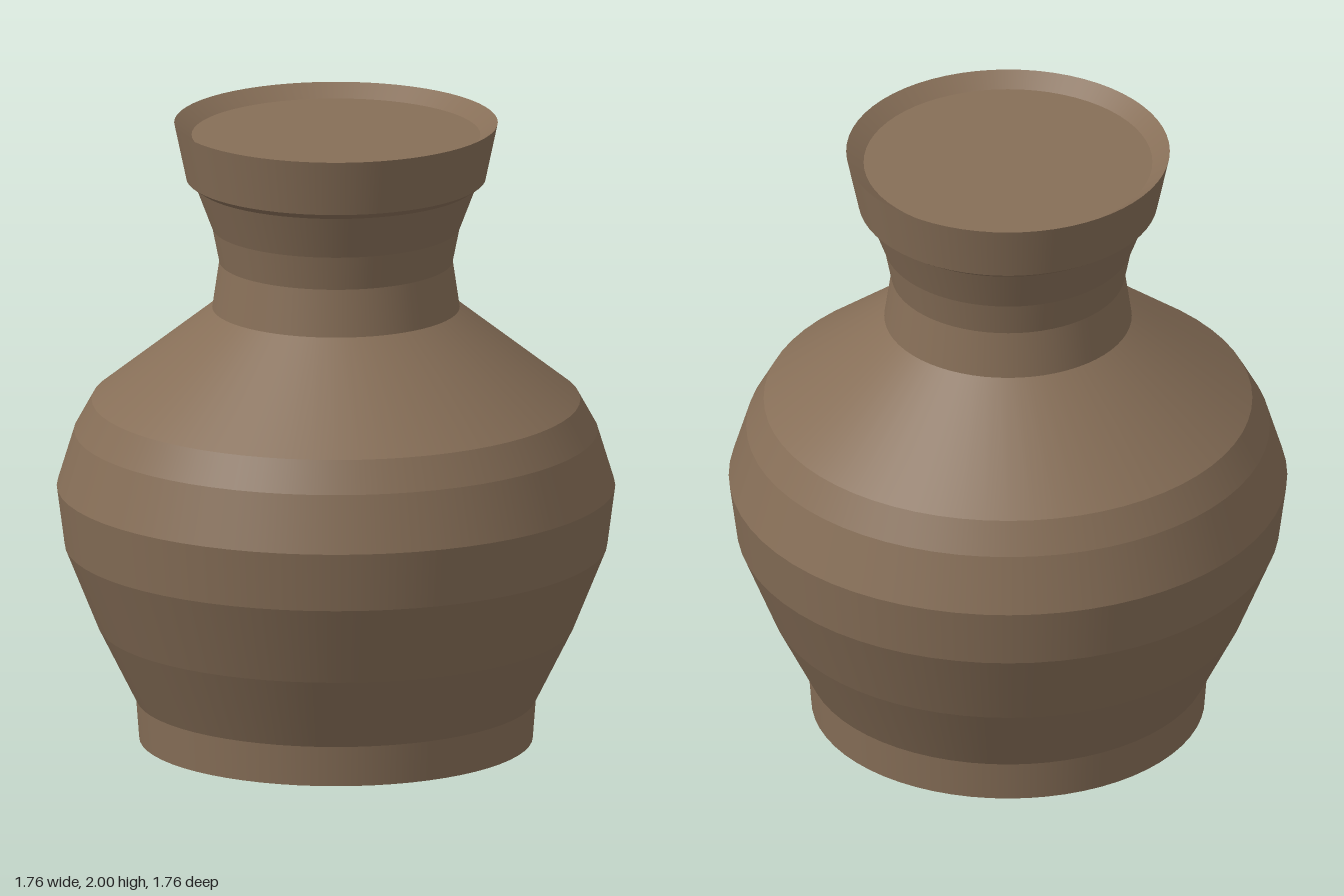
import * as THREE from 'three';
import { mergeGeometries } from 'three/addons/utils/BufferGeometryUtils.js';

const SEGMENTS = 64;

// Revolved bands: smooth around the axis, with a crease at every profile point
function bands(profile) {
  const rings = [];
  for (let i = 0; i < profile.length - 1; i++) {
    const pair = [profile[i], profile[i + 1]].map(([r, y]) => new THREE.Vector2(r, y));
    rings.push(new THREE.LatheGeometry(pair, SEGMENTS));
  }
  return mergeGeometries(rings);
}

export function createModel() {
  const vase = new THREE.Group();
  vase.name = 'vase';

  const clay = new THREE.MeshStandardMaterial({ color: 0x866e57 });
  clay.name = 'brown clay';

  // Each profile runs upward as [radius, height]
  const parts = {
    foot: [[0, 0], [0.62, 0], [0.63, 0.13]],
    belly: [[0.63, 0.13], [0.75, 0.37], [0.855, 0.63], [0.88, 0.82]],
    shoulder: [[0.88, 0.82], [0.825, 1.0], [0.77, 1.1], [0.39, 1.4]],
    neck: [[0.39, 1.4], [0.368, 1.55], [0.39, 1.66], [0.443, 1.8]],
    rim: [[0.443, 1.8], [0.472, 1.82], [0.51, 2], [0.455, 1.96]],
    mouth: [[0.455, 1.96], [0, 1.96]],
  };

  for (const [name, profile] of Object.entries(parts)) {
    const mesh = new THREE.Mesh(bands(profile), clay);
    mesh.name = name;
    vase.add(mesh);
  }
  return vase;
}
